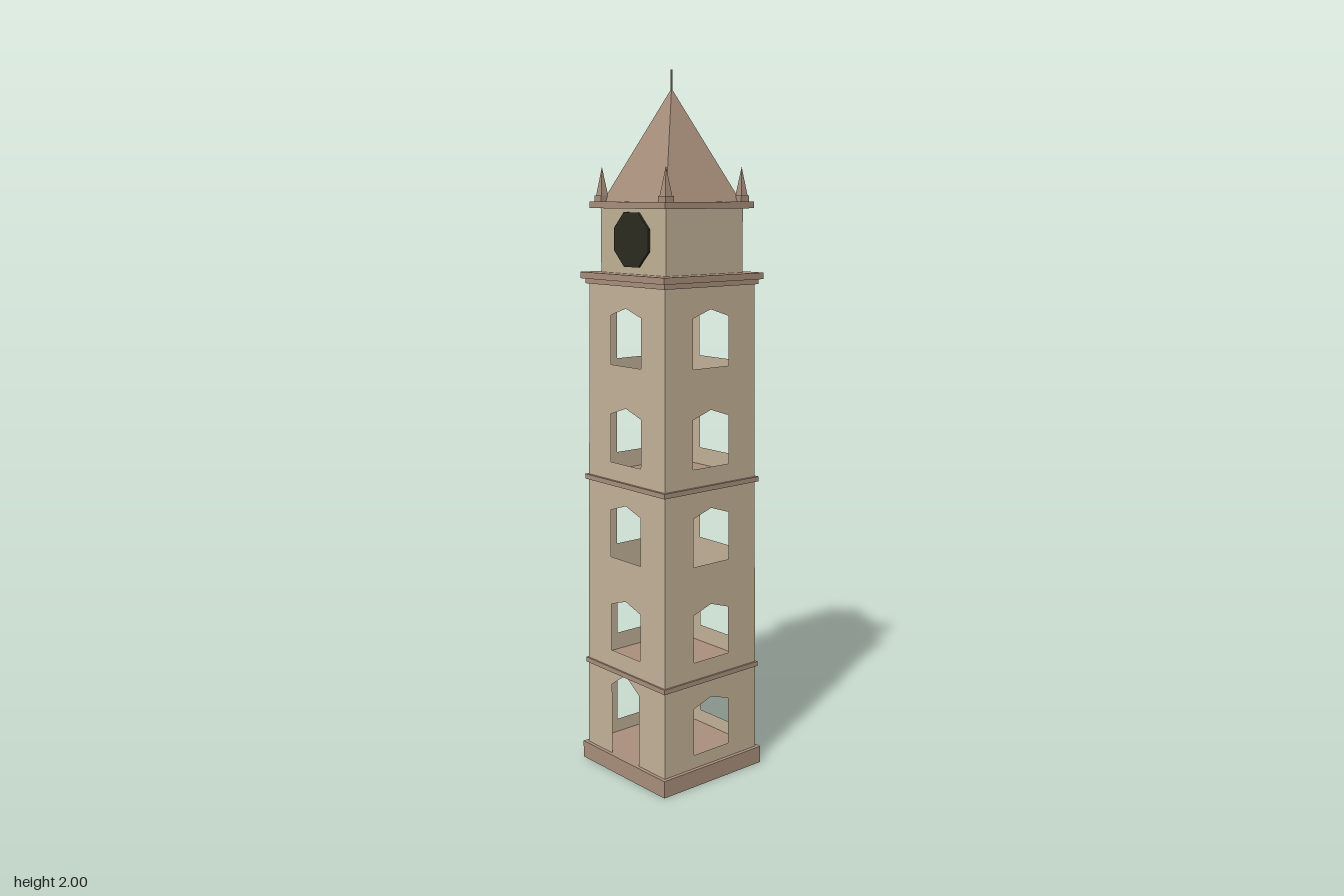
import * as THREE from 'three';

const stone = new THREE.MeshStandardMaterial({ color: 0xc3b398, side: THREE.DoubleSide });
stone.name = 'pale stone';
const trim = new THREE.MeshStandardMaterial({ color: 0xa98f7c, flatShading: true });
trim.name = 'brown trim';
const dark = new THREE.MeshStandardMaterial({ color: 0x2b2b20, flatShading: true });
dark.name = 'dark clock face';

const WALL_BOTTOM = 0.05, WALL_TOP = 1.42;
// half width of the tapering shaft at height y
const halfAt = y => 0.176 - 0.012 * (y - WALL_BOTTOM) / (WALL_TOP - WALL_BOTTOM);

// closed outline of an opening with a low pointed head
function openingPoints(w, sill, shoulder, peak) {
  return [[-w, sill], [-w, shoulder], [0, peak], [w, shoulder], [w, sill]]
    .map(([x, y]) => new THREE.Vector2(x, y));
}

// one leaning wall with its windows cut out; the front one has a doorway
function wallGeometry(hasDoor) {
  const b = halfAt(WALL_BOTTOM), t = halfAt(WALL_TOP);
  const outline = [new THREE.Vector2(-b, WALL_BOTTOM)];
  if (hasDoor) outline.push(...openingPoints(0.062, WALL_BOTTOM, 0.262, 0.305));
  outline.push(new THREE.Vector2(b, WALL_BOTTOM), new THREE.Vector2(t, WALL_TOP), new THREE.Vector2(-t, WALL_TOP));
  const shape = new THREE.Shape(outline);
  const sills = [0.09, 0.365, 0.643, 0.92, 1.197];
  for (const sill of hasDoor ? sills.slice(1) : sills) {
    shape.holes.push(new THREE.Path(openingPoints(0.066, sill, sill + 0.138, sill + 0.16)));
  }
  const geo = new THREE.ShapeGeometry(shape);
  const p = geo.attributes.position;
  for (let i = 0; i < p.count; i++) p.setZ(i, halfAt(p.getY(i)));
  geo.computeVertexNormals();
  return geo;
}

export function createModel() {
  const model = new THREE.Group();
  model.name = 'clockTower';

  function add(name, geo, mat, x = 0, y = 0, z = 0) {
    const mesh = new THREE.Mesh(geo, mat);
    mesh.name = name;
    mesh.position.set(x, y, z);
    model.add(mesh);
    return mesh;
  }
  // square slab given by half width and bottom and top heights
  const slab = (name, half, y0, y1, mat) =>
    add(name, new THREE.BoxGeometry(half * 2, y1 - y0, half * 2), mat, 0, (y0 + y1) / 2, 0);
  // four-sided pyramid with sides square to the axes
  const pyramid = (half, height) =>
    new THREE.ConeGeometry(half * Math.SQRT2, height, 4).rotateY(Math.PI / 4);

  // base, floor bands and cornices
  slab('base', 0.187, 0, 0.05, trim);
  slab('lowerBand', 0.179, 0.3, 0.314, trim);
  slab('upperBand', 0.177, 0.855, 0.869, trim);
  slab('corniceLower', 0.172, 1.418, 1.432, trim);
  slab('corniceUpper', 0.182, 1.432, 1.45, trim);

  // shaft walls
  ['frontWall', 'leftWall', 'backWall', 'rightWall'].forEach((name, i) => {
    add(name, wallGeometry(i === 0), stone).rotation.y = i * Math.PI / 2;
  });

  // clock chamber with a face at front and back
  slab('clockChamber', 0.14, 1.45, 1.627, stone);
  slab('eaves', 0.162, 1.627, 1.645, trim);
  for (const side of [1, -1]) {
    const face = new THREE.CylinderGeometry(0.08, 0.08, 0.008, 8)
      .rotateY(Math.PI / 8).rotateX(Math.PI / 2);
    add(side > 0 ? 'frontClock' : 'backClock', face, dark, 0, 1.543, side * 0.142);
  }

  // spire and its finial
  add('spire', pyramid(0.136, 0.305), trim, 0, 1.7975, 0);
  add('finial', new THREE.CylinderGeometry(0.003, 0.003, 0.07, 6), trim, 0, 1.965, 0);

  // corner pinnacles
  for (const x of [-0.137, 0.137]) for (const z of [-0.137, 0.137]) {
    add('pinnacleBase', new THREE.BoxGeometry(0.03, 0.016, 0.03), trim, x, 1.653, z);
    add('pinnacle', pyramid(0.012, 0.079), trim, x, 1.7, z);
  }
  return model;
}
